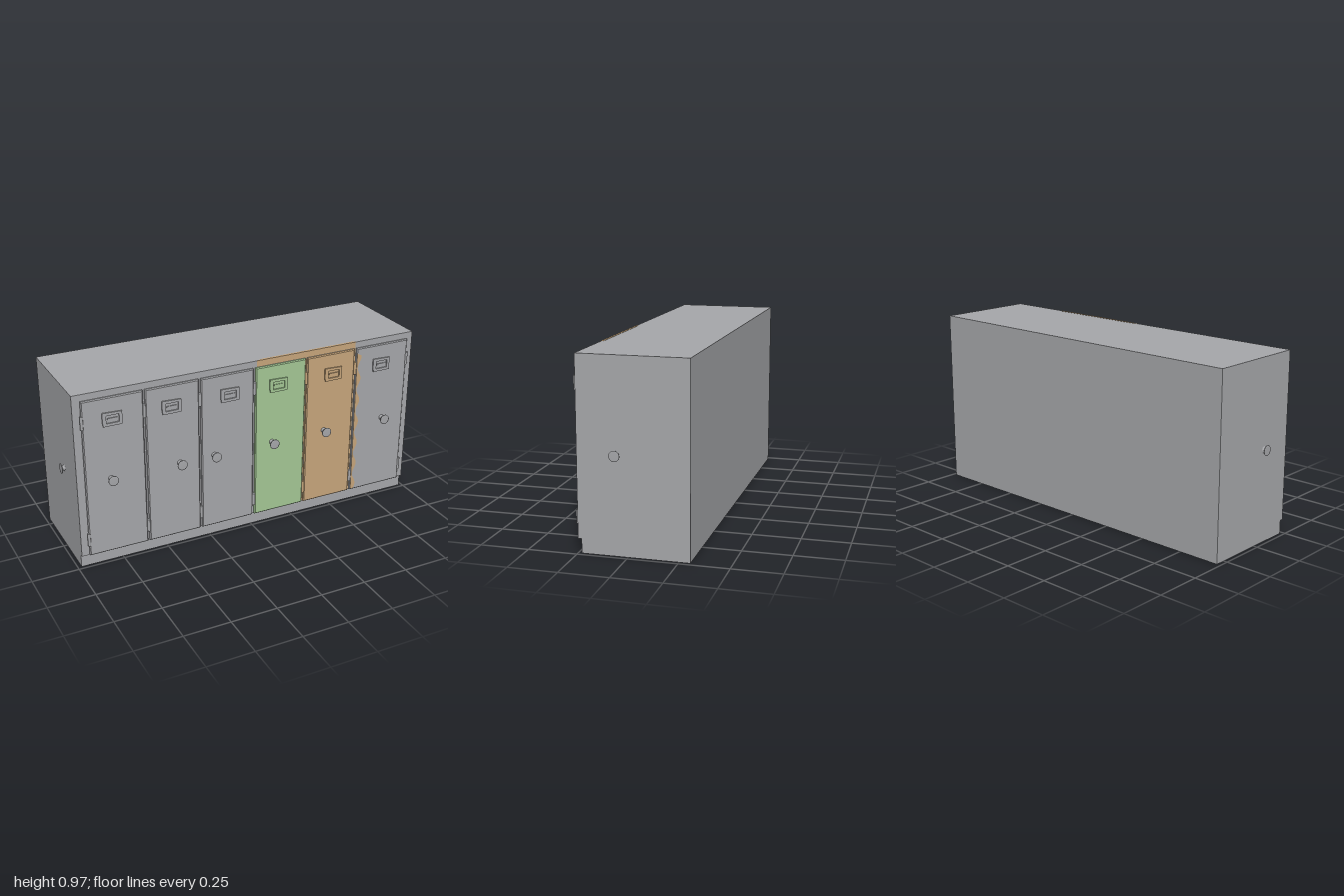
import * as THREE from 'three';

const mat = (name, color) => {
  const m = new THREE.MeshStandardMaterial({ color });
  m.name = name;
  return m;
};

export function createModel() {
  const grey = mat('greyMetal', 0xa6a7aa);
  const green = mat('greenPaint', 0xa4c795);
  const orange = mat('orangePaint', 0xc7a67c);
  const root = new THREE.Group();
  root.name = 'lockers';

  const add = (parent, name, geo, material, x = 0, y = 0, z = 0) => {
    const m = new THREE.Mesh(geo, material);
    m.name = name;
    m.position.set(x, y, z);
    parent.add(m);
    return m;
  };
  // box given by its minimum and maximum corners
  const box = (parent, name, material, x0, x1, y0, y1, z0, z1) =>
    add(parent, name, new THREE.BoxGeometry(x1 - x0, y1 - y0, z1 - z0), material,
      (x0 + x1) / 2, (y0 + y1) / 2, (z0 + z1) / 2);

  // Cabinet and recessed plinth
  box(root, 'cabinet', grey, -0.98, 0.98, 0.072, 0.97, -0.305, 0.25);
  box(root, 'plinth', grey, -0.98, 0.98, 0, 0.072, -0.305, 0.232);

  // Flared knob, turned about y and laid along z
  const knobGeo = new THREE.LatheGeometry([
    [0.02, 0], [0.013, 0.007], [0.011, 0.026], [0.016, 0.033],
    [0.027, 0.037], [0.027, 0.042], [0.022, 0.043], [0, 0.043],
  ].map(([r, h]) => new THREE.Vector2(r, h)), 20).rotateX(Math.PI / 2);

  // Door panel with a chamfered edge, 0.012 thick
  const doorGeo = (w, h) => {
    const b = 0.005;
    const s = new THREE.Shape();
    s.moveTo(-w / 2 + b, -h / 2 + b);
    s.lineTo(w / 2 - b, -h / 2 + b);
    s.lineTo(w / 2 - b, h / 2 - b);
    s.lineTo(-w / 2 + b, h / 2 - b);
    s.closePath();
    return new THREE.ExtrudeGeometry(s, {
      depth: 0.007, bevelEnabled: true, bevelSize: b, bevelThickness: b, bevelSegments: 1,
    });
  };

  // Card holder: raised frame with an open window
  const holderShape = new THREE.Shape();
  holderShape.moveTo(-0.048, -0.037);
  holderShape.lineTo(0.052, -0.037);
  holderShape.lineTo(0.052, 0.033);
  holderShape.lineTo(-0.052, 0.037);
  holderShape.lineTo(-0.052, -0.015);
  holderShape.closePath();
  const slot = new THREE.Path();
  slot.moveTo(-0.032, -0.022);
  slot.lineTo(-0.032, 0.02);
  slot.lineTo(0.036, 0.02);
  slot.lineTo(0.036, -0.022);
  slot.closePath();
  holderShape.holes.push(slot);
  const holderGeo = new THREE.ExtrudeGeometry(holderShape, { depth: 0.01, bevelEnabled: false });

  // Doors: left edge, right edge, knob x, card holder x, colour
  const doors = [
    [-0.94, -0.619, -0.805, -0.785, grey],
    [-0.608, -0.317, -0.43, -0.47, grey],
    [-0.306, -0.006, -0.235, -0.145, grey],
    [0.006, 0.302, 0.105, 0.138, green],
    [0.312, 0.603, 0.425, 0.47, orange],
    [0.616, 0.94, 0.80, 0.773, grey],
  ];
  for (const [x0, x1, knobX, holderX, colour] of doors) {
    const g = new THREE.Group();
    g.name = 'door';
    root.add(g);
    add(g, 'doorPanel', doorGeo(x1 - x0, 0.862), colour, (x0 + x1) / 2, 0.506, 0.255);
    add(g, 'doorKnob', knobGeo, grey, knobX, 0.495, 0.262);
    add(g, 'cardHolder', holderGeo, colour, holderX, 0.822, 0.264);
    box(g, 'cardHolderBar', colour, holderX - 0.025, holderX + 0.03, 0.818, 0.826, 0.262, 0.271);
  }

  // Hinge barrels at every door seam
  const hingeGeo = new THREE.CylinderGeometry(0.008, 0.008, 0.07, 10);
  for (const x of [-0.94, -0.613, -0.311, 0, 0.307, 0.61, 0.94]) {
    for (const y of [0.17, 0.825]) {
      const colour = x === 0.307 || (x === 0.61 && y > 0.5) ? orange : grey;
      add(root, 'hinge', hingeGeo, colour, x, y, 0.264);
    }
  }

  // Orange paint on the frame above and between doors
  box(root, 'paintedLintel', orange, 0.02, 0.615, 0.937, 0.971, 0.247, 0.2515);
  box(root, 'paintedTopEdge', orange, 0.04, 0.61, 0.967, 0.9712, 0.238, 0.251);
  for (const x of [0.307, 0.6095]) {
    box(root, 'paintedSeam', orange, x - 0.006, x + 0.006, 0.075, 0.937, 0.247, 0.2515);
  }

  // Wavy-edged overspray on the last door
  const spray = new THREE.Shape();
  spray.moveTo(0.619, 0.082);
  for (let i = 0; i <= 48; i++) {
    const y = 0.082 + (i / 48) * 0.81;
    spray.lineTo(0.636 + 0.011 * Math.sin(i * 0.82), y);
  }
  spray.lineTo(0.619, 0.91);
  spray.closePath();
  add(root, 'paintedEdge', new THREE.ExtrudeGeometry(spray, { depth: 0.0015, bevelEnabled: false }),
    orange, 0, 0, 0.2665);

  // Small knobs on the end walls
  for (const side of [-1, 1]) {
    const k = add(root, 'sideKnob', knobGeo, grey, side * 0.98, 0.495, 0.058);
    k.rotation.y = side * Math.PI / 2;
    k.scale.z = 0.46;
  }
  return root;
}
